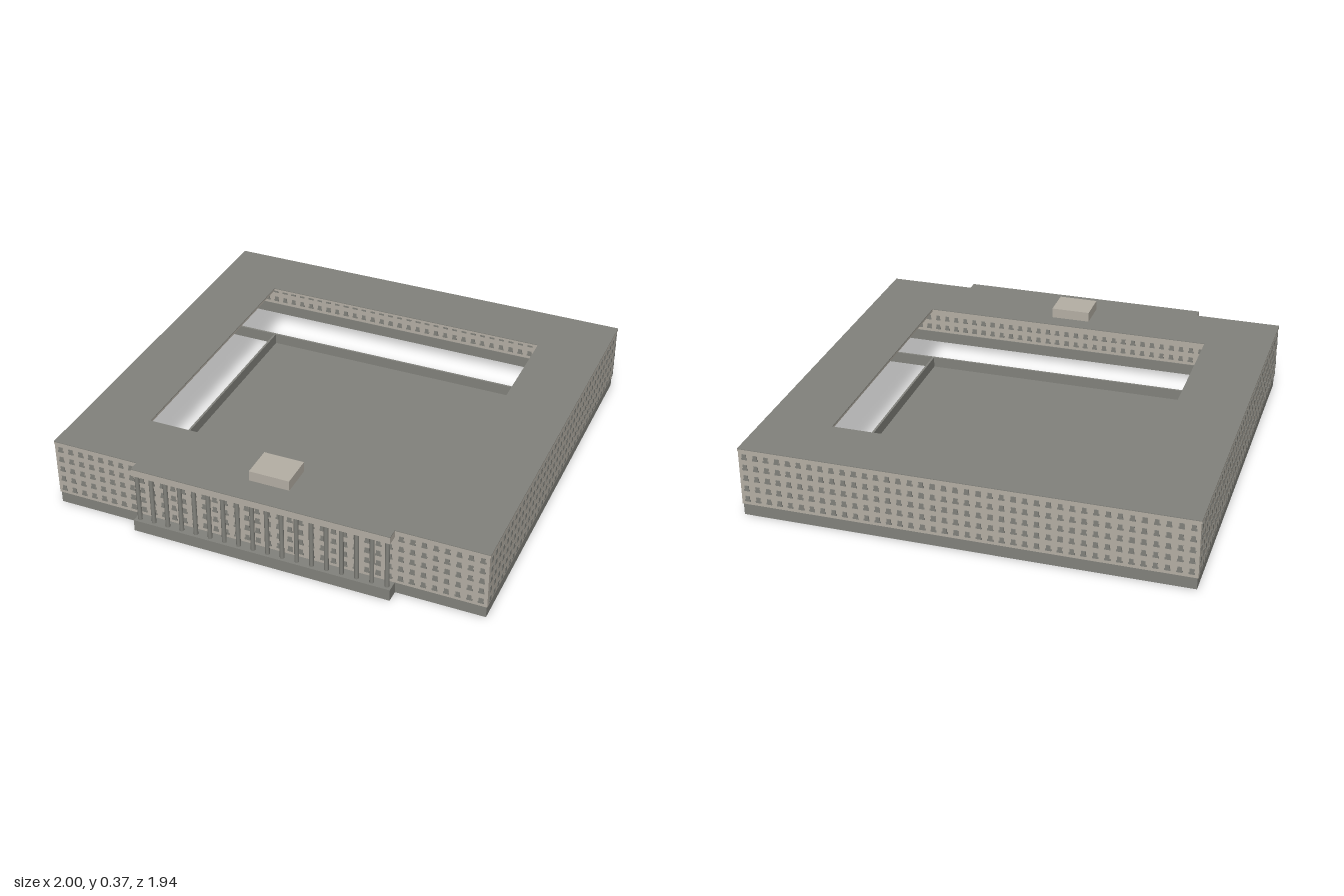
import * as THREE from 'three';
import { mergeGeometries } from 'three/addons/utils/BufferGeometryUtils.js';

const stone = new THREE.MeshStandardMaterial({ color: 0xb5afa5 });
stone.name = 'pale stone';
const grey = new THREE.MeshStandardMaterial({ color: 0x82827c });
grey.name = 'grey';

// outer and courtyard limits
const X = 0.997, BACK = -0.967, FRONT = 0.915, T = 0.01;
const CX = 0.69, CB = -0.67, CF = 0.61;
const BASE = 0.055, TOP = 0.325;

// box given by its minimum and maximum on each axis
function span(x0, x1, y0, y1, z0, z1) {
  return new THREE.BoxGeometry(x1 - x0, y1 - y0, z1 - z0)
    .translate((x0 + x1) / 2, (y0 + y1) / 2, (z0 + z1) / 2);
}

// four thin walls around a rectangle
function ring(x, y0, y1, z0, z1, t) {
  return [
    span(-x, x, y0, y1, z0, z0 + t), span(-x, x, y0, y1, z1 - t, z1),
    span(-x, -x + t, y0, y1, z0 + t, z1 - t), span(x - t, x, y0, y1, z0 + t, z1 - t),
  ];
}

// flat roof plate with the courtyard cut out and the porch added in front
function roofPlate(y, h) {
  const outline = [[-1, -BACK], [-1, -FRONT], [-0.592, -FRONT], [-0.592, -0.965],
    [0.592, -0.965], [0.592, -FRONT], [1, -FRONT], [1, -BACK]];
  const shape = new THREE.Shape(outline.map(p => new THREE.Vector2(...p)));
  const hole = [[-CX, -CB], [CX, -CB], [CX, -CF], [-CX, -CF]];
  shape.holes.push(new THREE.Path(hole.map(p => new THREE.Vector2(...p))));
  return new THREE.ExtrudeGeometry(shape, { depth: h, bevelEnabled: false })
    .rotateX(-Math.PI / 2).translate(0, y, 0);
}

export function createModel() {
  const model = new THREE.Group();
  const add = (name, geometries, material) => {
    const mesh = new THREE.Mesh(mergeGeometries(geometries), material);
    mesh.name = name;
    model.add(mesh);
  };

  // plinth and facades
  add('plinth', ring(0.993, 0, BASE, -0.964, 0.911, T), grey);
  add('outerWalls', ring(X, BASE, 0.316, BACK, FRONT, T), stone);

  // roof and ceiling
  add('ceiling', [roofPlate(0.312, 0.010)], stone);
  add('roof', [roofPlate(0.322, 0.003)], grey);
  add('roofHouse', [span(-0.095, 0.09, TOP, 0.372, 0.69, 0.84)], stone);

  // window panes with wider sills, showing on both faces of each wall
  const windows = [];
  const depth = T + 0.006;
  const addWindow = (x, y, z, side) => {
    for (const [w, h, dy] of [[0.019, 0.017, 0.004], [0.026, 0.009, -0.009]]) {
      const g = side ? new THREE.BoxGeometry(depth, h, w) : new THREE.BoxGeometry(w, h, depth);
      windows.push(g.translate(x, y + dy, z));
    }
  };
  for (let row = 0; row < 5; row++) {
    const y = 0.084 + row * 0.0512;
    for (let i = 0; i < 40; i++) {
      const x = -0.969 + i * 0.0497;
      addWindow(x, y, BACK + T / 2, false);
      addWindow(x, y, FRONT - T / 2, false);
    }
    for (let i = 0; i < 38; i++) {
      const z = 0.886 - i * 0.0494;
      addWindow(X - T / 2, y, z, true);
      addWindow(-X + T / 2, y, z, true);
    }
  }
  add('windows', windows, grey);

  // courtyard floor and the low walls around it
  add('courtyardFloor', [span(-CX, CX, 0, 0.004, CB, CF)], grey);
  add('courtyardLowWalls', [
    span(-0.985, 0.985, 0, BASE, CB - T, CB),
    span(-0.985, 0.985, 0, BASE, CF, CF + T),
    span(-CX - T, -CX, 0, BASE, CB, CF),
    span(CX, CX + T, 0, BASE, CB, CF),
  ], grey);

  // porch: platform, entablature and a row of columns
  add('porchPlatform', [span(-0.596, 0.596, 0, BASE, 0.911, 0.97)], grey);
  add('porchEntablature', [span(-0.592, 0.592, 0.29, 0.322, FRONT, 0.965)], stone);
  const columns = [];
  for (let i = 0; i < 18; i++) {
    columns.push(new THREE.CylinderGeometry(0.01, 0.01, 0.235, 12)
      .translate(-0.575 + i * 1.15 / 17, BASE + 0.1175, 0.949));
  }
  add('porchColumns', columns, grey);

  return model;
}
